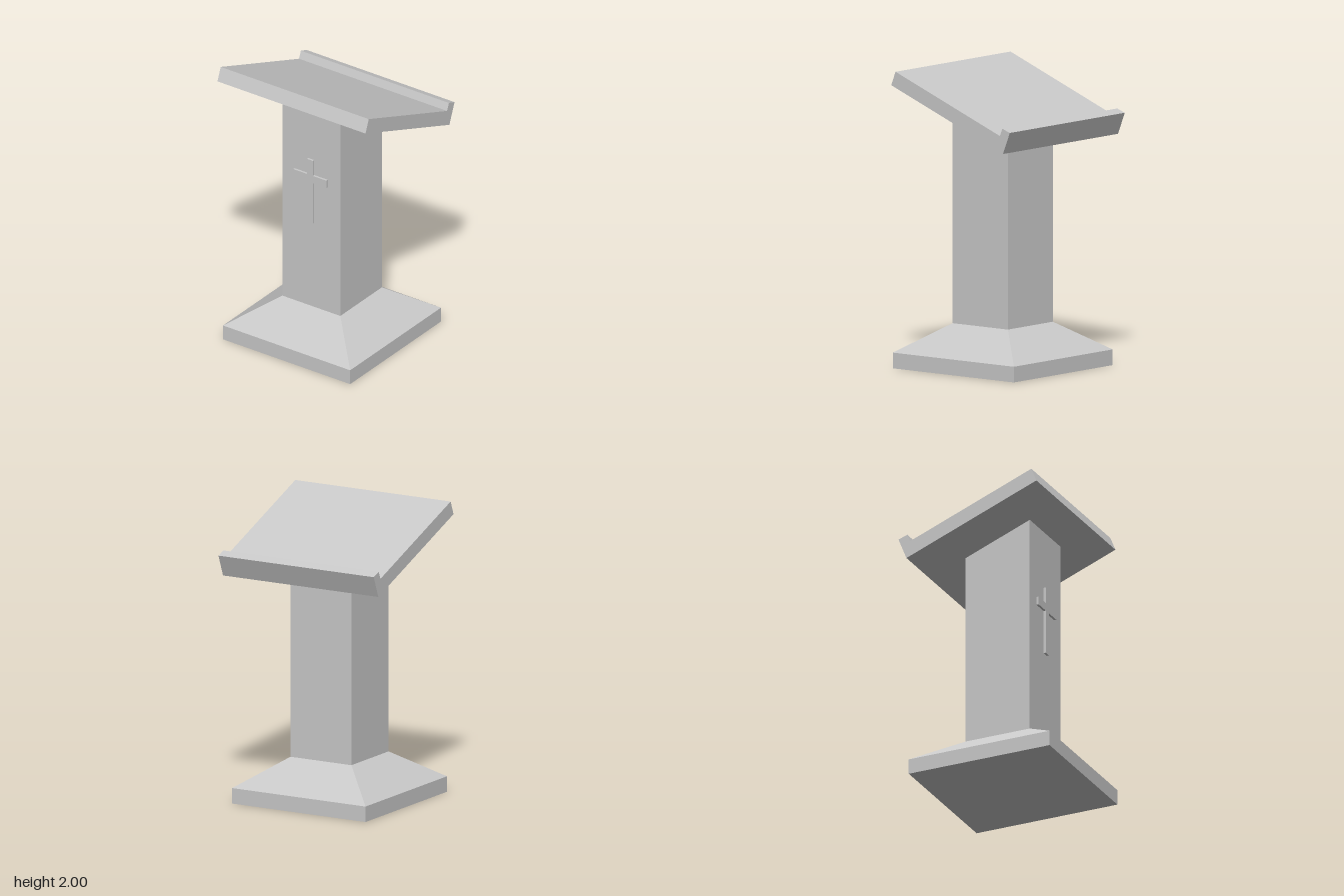
import * as THREE from 'three';

const CENTER_Z = 0.016; // centre line of base and column
const COLUMN = 0.236;   // half width of the column
const BASE = 0.517;     // half width of the base

// Extrudes a side profile of [z, y] points across the width, centred on x = 0
function extrudeAcross(profile, width) {
  const shape = new THREE.Shape(profile.map(([z, y]) => new THREE.Vector2(z, y)));
  const geometry = new THREE.ExtrudeGeometry(shape, { depth: width, bevelEnabled: false });
  geometry.translate(0, 0, -width / 2);
  geometry.rotateY(-Math.PI / 2);
  return geometry;
}

export function createModel() {
  const group = new THREE.Group();
  const stone = new THREE.MeshStandardMaterial({ color: 0xc8c8c8 });
  stone.name = 'pale grey';

  const add = (name, geometry) => {
    const mesh = new THREE.Mesh(geometry, stone);
    mesh.name = name;
    group.add(mesh);
    return mesh;
  };

  // Square plinth
  add('plinth', new THREE.BoxGeometry(BASE * 2, 0.105, BASE * 2)).position.set(0, 0.0525, CENTER_Z);

  // Sloped foot: a four-sided frustum from plinth to column
  const foot = new THREE.CylinderGeometry(COLUMN * Math.SQRT2, BASE * Math.SQRT2, 0.191, 4, 1, true)
    .rotateY(Math.PI / 4)
    .toNonIndexed();
  foot.computeVertexNormals();
  add('slopedFoot', foot).position.set(0, 0.2005, CENTER_Z);

  // Column, its top cut to the slope of the desk
  const front = CENTER_Z + COLUMN, back = CENTER_Z - COLUMN;
  add('column', extrudeAcross([[front, 0.296], [front, 1.819], [back, 1.634], [back, 0.296]], COLUMN * 2));

  // Tilted desk with a book ledge along its lower edge
  add('desk', extrudeAcross([
    [0.44, 2.0], [0.477, 1.907], [-0.477, 1.534],
    [-0.535, 1.68], [-0.471, 1.703], [-0.45, 1.652],
  ], 1.204));

  // Raised cross on the front of the column
  const half = [[0.024, 0.935], [0.024, 1.242], [0.135, 1.242], [0.135, 1.298], [0.024, 1.298], [0.024, 1.412]];
  const outline = [...half, ...half.map(([x, y]) => [-x, y]).reverse()];
  const cross = new THREE.Shape(outline.map(([x, y]) => new THREE.Vector2(x, y)));
  add('cross', new THREE.ExtrudeGeometry(cross, { depth: 0.016, bevelEnabled: false })).position.z = front;

  return group;
}
